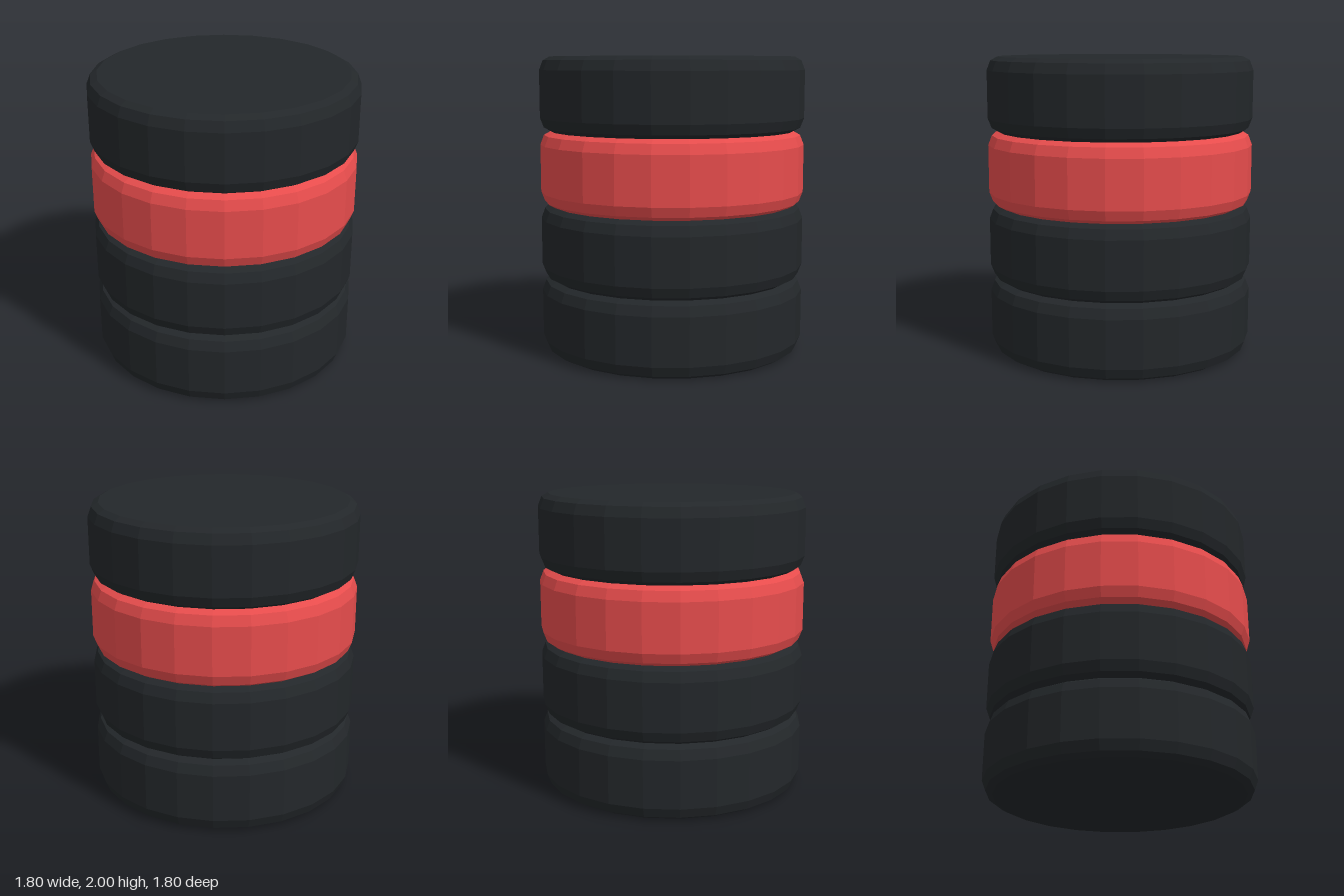
import * as THREE from 'three';

const SIDES = 24;
const DISC_HEIGHT = 0.5;

// Half profile of one disc: flat caps with a two-step bevel at each rim
function discGeometry() {
  const lower = [[0, 0], [0.83, 0], [0.875, 0.025], [0.9, 0.09]];
  const upper = lower.map(([r, y]) => [r, DISC_HEIGHT - y]).reverse();
  const profile = [...lower, ...upper].map(([r, y]) => new THREE.Vector2(r, y));
  return new THREE.LatheGeometry(profile, SIDES);
}

export function createModel() {
  const model = new THREE.Group();
  model.name = 'discStack';

  const dark = new THREE.MeshStandardMaterial({ color: 0x23272a, flatShading: true });
  const red = new THREE.MeshStandardMaterial({ color: 0xe64c4c, flatShading: true });
  const geometry = discGeometry();

  // Four stacked discs, bottom to top, the third one red
  const discs = [
    ['bottomDisc', dark],
    ['lowerMiddleDisc', dark],
    ['redDisc', red],
    ['topDisc', dark],
  ];
  discs.forEach(([name, material], i) => {
    const disc = new THREE.Mesh(geometry, material);
    disc.name = name;
    disc.position.y = i * DISC_HEIGHT;
    model.add(disc);
  });

  return model;
}
